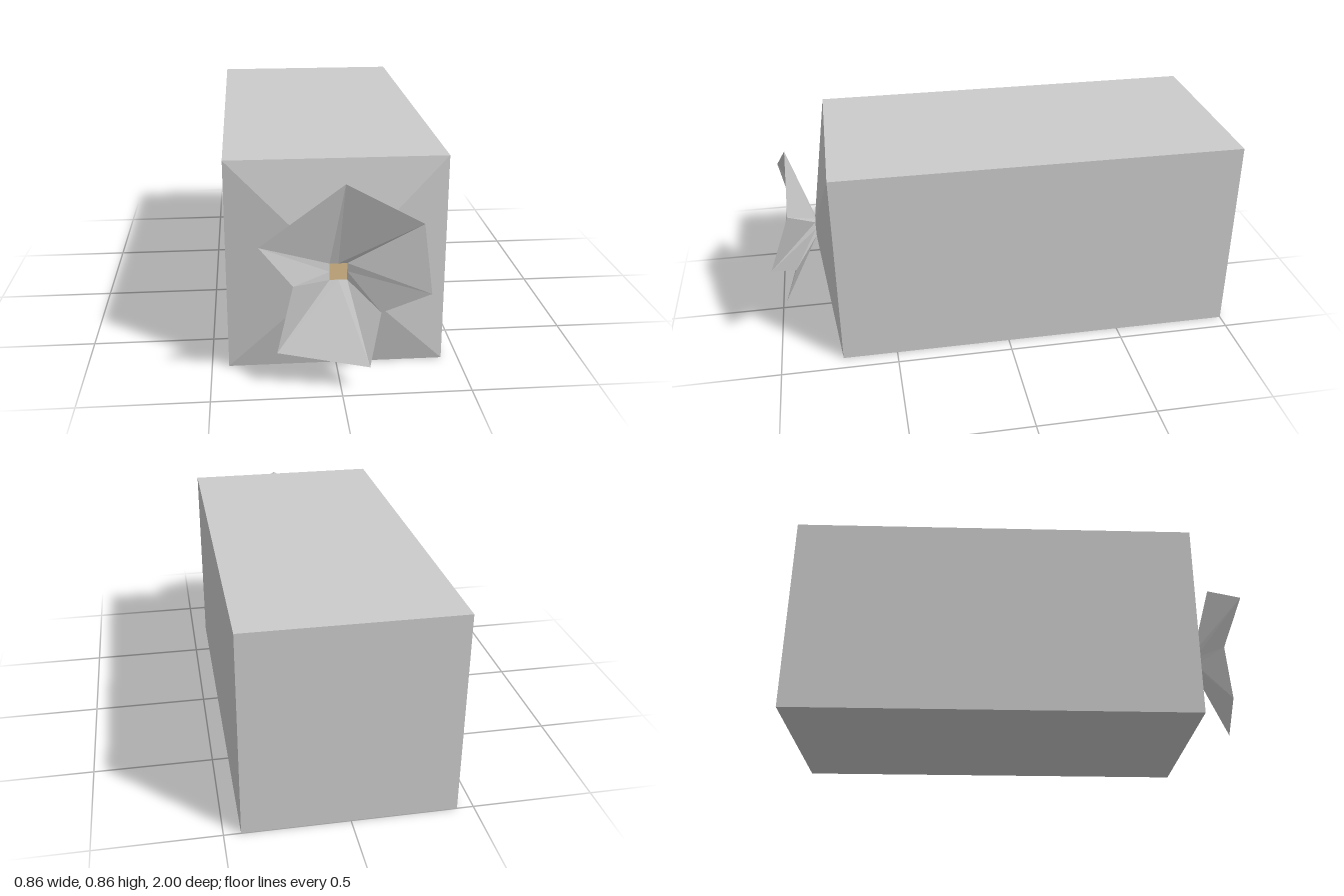
import * as THREE from 'three';

const HALF = 0.432;      // half width of the square body
const HOLE = 0.034;      // half width of the square throat
const THROAT_Z = 0.81;

export function createModel() {
  const group = new THREE.Group();
  const grey = new THREE.MeshStandardMaterial({ color: 0xcccccc, flatShading: true });
  const thin = new THREE.MeshStandardMaterial({ color: 0xcccccc, flatShading: true, side: THREE.DoubleSide });
  const tan = new THREE.MeshStandardMaterial({ color: 0xe0c090 });

  const add = (name, geometry, material) => {
    const mesh = new THREE.Mesh(geometry, material);
    mesh.name = name;
    mesh.position.y = HALF;
    group.add(mesh);
    return mesh;
  };

  // Square body tapering at the front to the throat: a four-sided lathe laid along z
  const profile = [[0, -1], [HALF, -1], [HALF, 0.735], [HOLE, THROAT_Z]]
    .map(([r, z]) => new THREE.Vector2(r * Math.SQRT2, z));
  const body = new THREE.LatheGeometry(profile, 4, Math.PI / 4);
  body.rotateX(Math.PI / 2);
  add('body', body, grey);

  // Coloured square closing the throat
  const throat = new THREE.PlaneGeometry(HOLE * 2, HOLE * 2);
  throat.translate(0, 0, THROAT_Z);
  add('throat', throat, tan);

  // Irregular flared rim, clockwise from the top; heights are measured from the ground
  const rim = [
    [0.015, 0.817, 0.91], [0.31, 0.655, 0.91], [0.328, 0.413, 1.0], [0.155, 0.3, 0.91],
    [0.107, 0.103, 0.973], [-0.243, 0.145, 0.91], [-0.18, 0.42, 0.91], [-0.307, 0.605, 0.97],
  ];
  // Corners and edge midpoints of the throat in the same order
  const inner = [[0, 1], [1, 1], [1, 0], [1, -1], [0, -1], [-1, -1], [-1, 0], [-1, 1]];
  const positions = [], index = [];
  rim.forEach(([x, y, z], i) => {
    positions.push(x, y - HALF, z, inner[i][0] * HOLE, inner[i][1] * HOLE, THROAT_Z);
    const a = i * 2, b = ((i + 1) % rim.length) * 2;
    index.push(a, a + 1, b, b, a + 1, b + 1);
  });
  const flare = new THREE.BufferGeometry();
  flare.setAttribute('position', new THREE.Float32BufferAttribute(positions, 3));
  flare.setIndex(index);
  flare.computeVertexNormals();
  add('flaredRim', flare, thin);

  return group;
}
